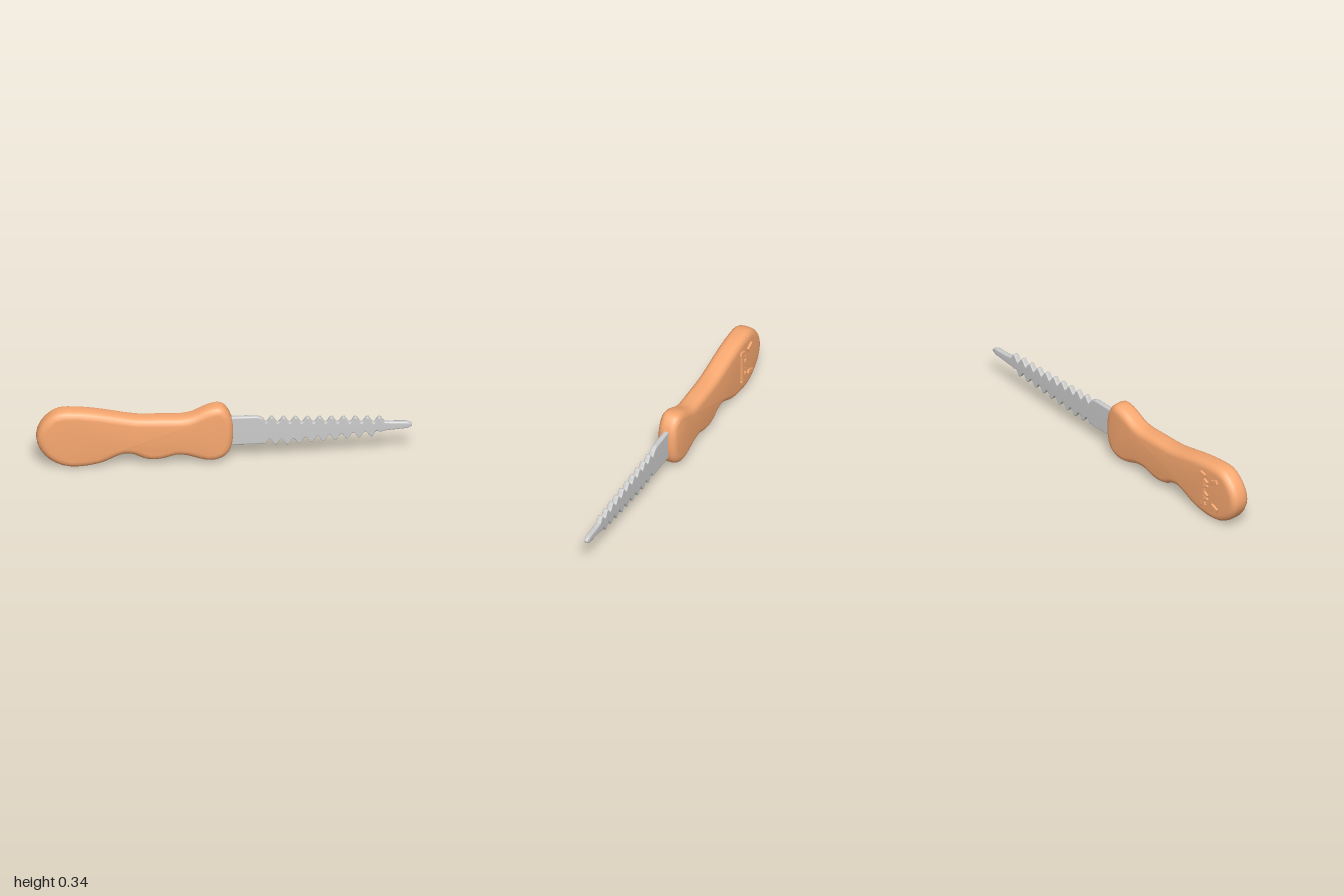
import * as THREE from 'three';
import { toCreasedNormals } from 'three/addons/utils/BufferGeometryUtils.js';
import { RoundedBoxGeometry } from 'three/addons/geometries/RoundedBoxGeometry.js';

const MID_Z = 0.006;

// Closed handle outline: over the back, then the finger grooves underneath
const HANDLE = [
  [-1, 0.18], [-0.98, 0.25], [-0.935, 0.305], [-0.885, 0.334], [-0.83, 0.34], [-0.7, 0.328],
  [-0.58, 0.305], [-0.47, 0.284], [-0.33, 0.28], [-0.23, 0.278], [-0.17, 0.29], [-0.11, 0.32],
  [-0.06, 0.337], [-0.02, 0.338], [0.01, 0.315], [0.037, 0.26], [0.045, 0.18], [0.039, 0.11],
  [0.02, 0.06], [-0.02, 0.028], [-0.07, 0.016], [-0.13, 0.026], [-0.2, 0.05], [-0.26, 0.054],
  [-0.31, 0.04], [-0.37, 0.03], [-0.43, 0.04], [-0.48, 0.065], [-0.53, 0.072], [-0.58, 0.055],
  [-0.64, 0.026], [-0.7, 0.01], [-0.78, 0.001], [-0.86, 0.011], [-0.93, 0.05], [-0.98, 0.11],
];

function handleGeometry() {
  const curve = new THREE.CatmullRomCurve3(HANDLE.map(([x, y]) => new THREE.Vector3(x, y, 0)), true);
  const pts = curve.getPoints(72).slice(0, -1).map(p => new THREE.Vector2(p.x, p.y));
  const geo = new THREE.ExtrudeGeometry(new THREE.Shape(pts), {
    depth: 0.036, bevelThickness: 0.038, bevelSize: 0.038, bevelOffset: -0.038, bevelSegments: 4,
  });
  geo.translate(0, 0, MID_Z - 0.018);
  return toCreasedNormals(geo, 0.8);
}

// Piecewise linear lookup in a list of [x, y] pairs
function lookup(table, x) {
  for (let i = 1; i < table.length; i++) {
    const [x0, y0] = table[i - 1], [x1, y1] = table[i];
    if (x <= x1) return y0 + (y1 - y0) * (x - x0) / (x1 - x0);
  }
  return table[table.length - 1][1];
}

const TOP = [[0, 0.262], [0.175, 0.262], [0.215, 0.24], [0.84, 0.219], [0.87, 0.204], [0.965, 0.201], [0.985, 0.196], [0.995, 0.187]];
const BOTTOM = [[0, 0.095], [0.175, 0.094], [0.24, 0.105], [0.33, 0.102], [0.8, 0.138], [0.85, 0.153], [0.965, 0.164], [0.985, 0.168], [0.995, 0.176]];
const PITCH = 0.0635;

// Tooth wave that fades in after the shank and out before the tip
function tooth(x, peak, from, to) {
  const fade = Math.min(1, Math.max(0, Math.min((x - from) / 0.03, (to - x) / 0.03)));
  return 0.017 * fade * Math.cos(2 * Math.PI * (x - peak) / PITCH);
}

// Blade: rounded rectangular sections swept along x
function bladeGeometry() {
  const pos = [], idx = [], steps = 160, half = 0.0145;
  const section = [[1, 0.75], [0.9, 0.92], [0.55, 1], [-0.55, 1], [-0.9, 0.92], [-1, 0.75],
    [-1, -0.75], [-0.9, -0.92], [-0.55, -1], [0.55, -1], [0.9, -0.92], [1, -0.75]];
  const n = section.length;
  for (let i = 0; i <= steps; i++) {
    const x = 0.995 * i / steps;
    const top = lookup(TOP, x) + tooth(x, 0.25, 0.19, 0.865);
    const bottom = lookup(BOTTOM, x) - tooth(x, 0.27, 0.2, 0.83);
    const cy = (top + bottom) / 2, h = (top - bottom) / 2;
    const w = half * (x > 0.98 ? 0.75 : 1);
    for (const [a, b] of section) {
      // corners keep a constant size, whatever the blade height
      const y = Math.sign(b) * Math.max(h * 0.4, h - (1 - Math.abs(b)) * 0.03);
      pos.push(x, cy + y, MID_Z + a * w);
    }
  }
  for (let i = 0; i < steps; i++) {
    for (let j = 0; j < n; j++) {
      const a = i * n + j, b = i * n + (j + 1) % n;
      idx.push(a, a + n, b, b, a + n, b + n);
    }
  }
  // end caps
  const last = steps * n;
  for (let j = 1; j < n - 1; j++) {
    idx.push(0, j, j + 1, last, last + j + 1, last + j);
  }
  const geo = new THREE.BufferGeometry();
  geo.setAttribute('position', new THREE.Float32BufferAttribute(pos, 3));
  geo.setIndex(idx);
  geo.computeVertexNormals();
  return geo;
}

export function createModel() {
  const model = new THREE.Group();
  const orange = new THREE.MeshStandardMaterial({ color: 0xf8a870 });
  const grey = new THREE.MeshStandardMaterial({ color: 0xcccccc });
  const add = (name, geo, mat, parent = model) => {
    const mesh = new THREE.Mesh(geo, mat);
    mesh.name = name;
    parent.add(mesh);
    return mesh;
  };

  add('handle', handleGeometry(), orange);
  add('blade', bladeGeometry(), grey);

  // Raised rough grip on the back: a spine with small slanted ridges
  const grip = new THREE.Group();
  grip.name = 'backGrip';
  const bar = (name, x, y, w, h, turn = 0) => {
    const mesh = add(name, new RoundedBoxGeometry(w, h, 0.03, 1, 0.004), orange, grip);
    mesh.position.set(x, y, -0.046);
    mesh.rotation.z = turn;
  };
  bar('gripSpine', -0.752, 0.175, 0.03, 0.18);
  for (let i = 0; i < 4; i++) {
    bar('gripRidge', -0.768, 0.115 + i * 0.04, 0.05, 0.016, i % 2 ? 0.5 : -0.5);
  }
  for (const s of [-1, 1]) {
    bar('gripEnd', -0.752, 0.175 + s * 0.09, 0.042, 0.026, s * 0.25);
    bar('gripSide', -0.842, 0.175 + s * 0.08, 0.052, 0.026, -s * 0.4);
  }
  model.add(grip);
  return model;
}
